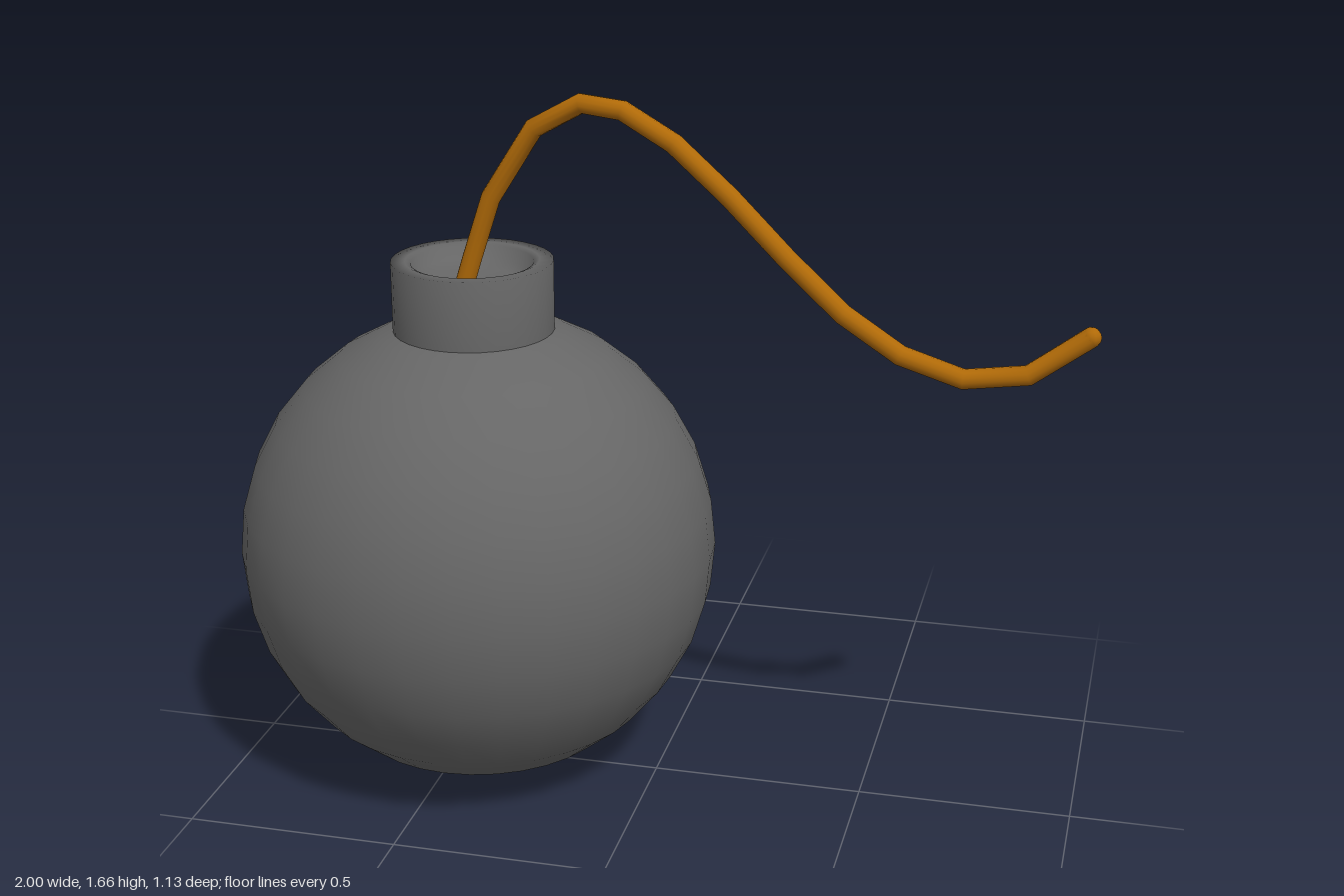
import * as THREE from 'three';

const CX = -0.436, R = 0.565, NECK_R = 0.188, NECK_TOP = 1.26;

export function createModel() {
  const model = new THREE.Group();
  const iron = new THREE.MeshStandardMaterial({ color: 0x666666 });
  iron.name = 'dark iron';
  const cord = new THREE.MeshStandardMaterial({ color: 0xb06a08 });
  cord.name = 'fuse cord';

  const add = (name, geometry, material, x = 0, y = 0, z = 0) => {
    const mesh = new THREE.Mesh(geometry, material);
    mesh.name = name;
    mesh.position.set(x, y, z);
    model.add(mesh);
  };

  // Round body
  add('body', new THREE.SphereGeometry(R, 32, 16), iron, CX, R, 0);

  // Neck: up the outer wall, over the lip and down into a shallow cup
  const neck = [
    [NECK_R, 1.08], [NECK_R, NECK_TOP], [0.155, NECK_TOP], [0.142, 1.255],
    [0.13, 1.225], [0.1, 1.21], [0, 1.205],
  ];
  add('neck', new THREE.LatheGeometry(neck.map(([r, y]) => new THREE.Vector2(r, y)), 32), iron, CX, 0, 0);

  // Fuse: one tube segment between each pair of points
  const path = [
    [-0.465, 1.17, 0], [-0.437, 1.26, 0], [-0.387, 1.41, 0.002], [-0.28, 1.577, 0.01],
    [-0.167, 1.641, 0.02], [-0.07, 1.632, 0.03], [0.05, 1.567, 0.043], [0.18, 1.457, 0.057],
    [0.31, 1.332, 0.07], [0.44, 1.217, 0.081], [0.57, 1.135, 0.088], [0.71, 1.092, 0.09],
    [0.85, 1.11, 0.084], [0.977, 1.202, 0.073],
  ].map((p) => new THREE.Vector3(...p));
  const curve = new THREE.CatmullRomCurve3(path);
  curve.getPointAt = curve.getPoint;
  curve.getTangentAt = curve.getTangent;
  add('fuse', new THREE.TubeGeometry(curve, path.length - 1, 0.023, 12), cord);

  // Rounded tip closes the free end
  add('fuseTip', new THREE.SphereGeometry(0.023, 12, 8), cord, ...path[path.length - 1].toArray());

  return model;
}
